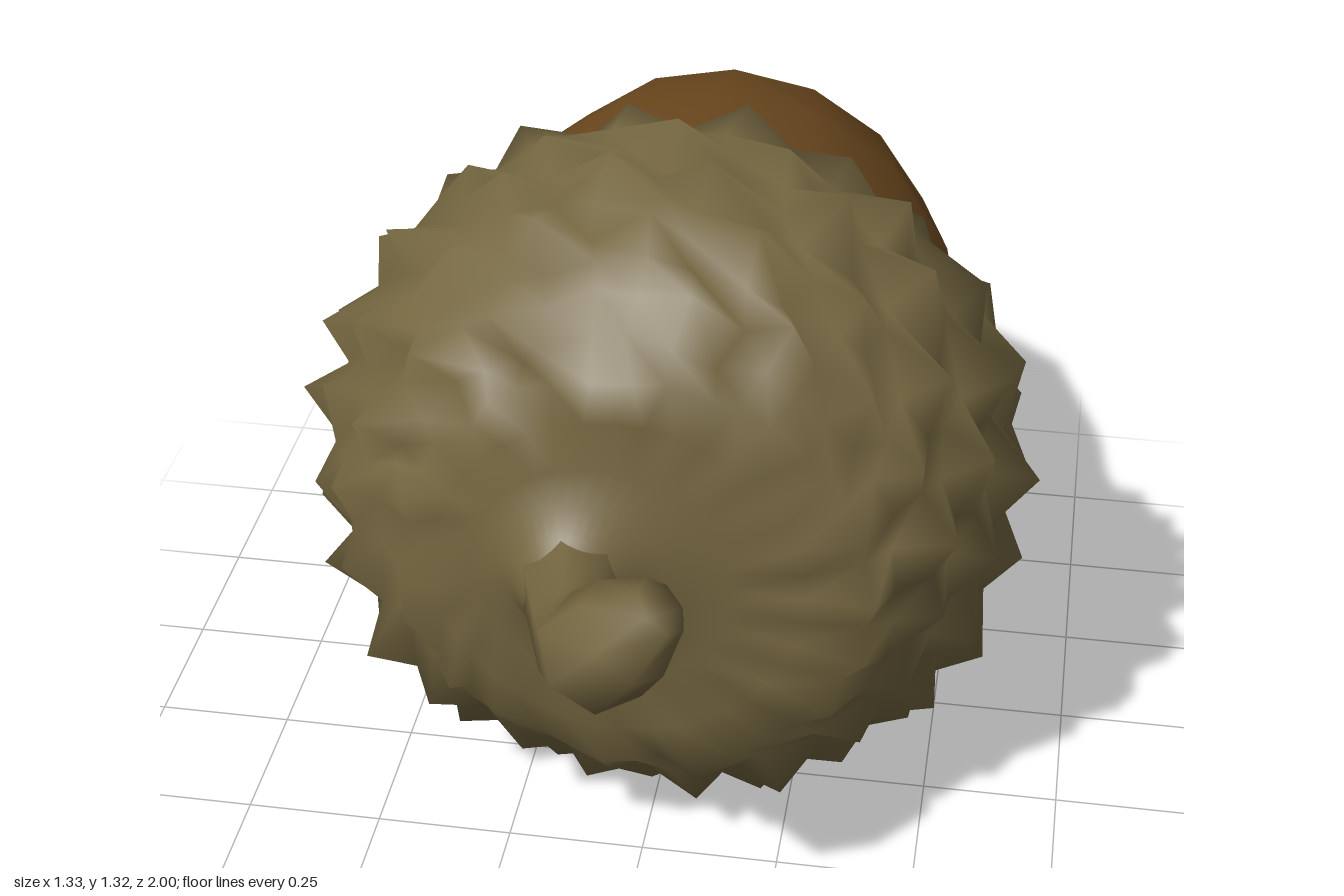
import * as THREE from 'three';
import { mergeVertices } from 'three/addons/utils/BufferGeometryUtils.js';

const AXIS_Y = 0.625;

// Small repeatable random number from 0 to 1
function hash(a, b) {
  const s = Math.sin(a * 127.1 + b * 311.7) * 43758.5453;
  return s - Math.floor(s);
}

// Weld the seams and recompute smooth normals
function weld(geometry) {
  geometry.deleteAttribute('normal');
  geometry.deleteAttribute('uv');
  const g = mergeVertices(geometry, 1e-4);
  g.computeVertexNormals();
  return g;
}

// Revolve [radius, z, ...] rows; the lathe axis becomes z once rotated
function revolve(rows, segments) {
  return new THREE.LatheGeometry(rows.map(([r, z]) => new THREE.Vector2(r, z)), segments);
}

// Pointed nut whose middle sags a little
function nutGeometry() {
  const g = revolve([
    [0, -1], [0.1, -0.9], [0.3, -0.79], [0.418, -0.64],
    [0.49, -0.4], [0.508, -0.2], [0.515, 0.03],
  ], 16).rotateX(Math.PI / 2);
  const p = g.attributes.position;
  for (let i = 0; i < p.count; i++) p.setY(i, p.getY(i) + 0.03 * Math.sin(Math.PI * p.getZ(i)));
  return weld(g);
}

// Cup with staggered rows of pointed scales, drawn out into the stalk
function capGeometry() {
  const segments = 40;
  // radius, z, spike height
  const rows = [
    [0.49, -0.01, 0], [0.545, -0.015, 0], [0.578, 0.0, 0.05], [0.595, 0.06, 0],
    [0.6, 0.12, 0.068], [0.602, 0.18, 0], [0.6, 0.24, 0.068], [0.585, 0.3, 0],
    [0.565, 0.355, 0.065], [0.535, 0.41, 0], [0.5, 0.46, 0.06], [0.45, 0.51, 0],
    [0.4, 0.55, 0.03], [0.32, 0.58, 0], [0.22, 0.593, 0], [0.14, 0.61, 0], [0.1, 0.65, 0], [0.06, 0.7, 0],
  ];
  const g = revolve(rows, segments);
  const p = g.attributes.position;
  for (let i = 0; i < p.count; i++) {
    const row = i % rows.length;
    const col = Math.floor(i / rows.length) % segments;
    const [r, z, spike] = rows[row];
    const raised = spike > 0 && (col + row / 2) % 2 === 0;
    const rough = row > 1 && r > 0.35 ? 0.03 : 0;
    const out = raised ? spike * (0.6 + 0.5 * hash(col, row)) : rough * (hash(col, row) - 0.55);
    const lean = rough * 1.6 * (hash(row, col + 9) - 0.5);
    const angle = col / segments * Math.PI * 2 + rough * 3 * (hash(row + 5, col) - 0.5);
    // Scales stand out along the curved surface of the cup
    const tilt = Math.max(0, (z - 0.2) / 0.35) * 0.9;
    const radius = r + out * Math.cos(tilt);
    // The middle rows slide over to meet the off-centre stalk
    const slide = THREE.MathUtils.clamp((0.4 - r) / 0.3, 0, 1);
    p.setXYZ(i, Math.sin(angle) * radius - 0.09 * slide, z + out * Math.sin(tilt) + lean,
      Math.cos(angle) * radius - 0.045 * slide);
  }
  return weld(g.rotateX(Math.PI / 2));
}

// Bent stalk with a thick elbow and a blunt, hooked tip
function stalkGeometry() {
  const path = new THREE.CatmullRomCurve3([
    new THREE.Vector3(-0.09, 0.685, 0.6), new THREE.Vector3(-0.08, 0.695, 0.68),
    new THREE.Vector3(-0.055, 0.7, 0.78), new THREE.Vector3(-0.015, 0.735, 0.88),
    new THREE.Vector3(0.03, 0.795, 0.915), new THREE.Vector3(0.11, 0.875, 0.92),
  ]);
  const radii = [0.105, 0.085, 0.075, 0.076, 0.1, 0.092, 0.05];
  const sides = 7;
  const g = new THREE.TubeGeometry(path, radii.length - 1, 0.001, sides);
  const p = g.attributes.position, n = g.attributes.normal;
  for (let i = 0; i < p.count; i++) {
    const r = radii[Math.floor(i / (sides + 1))];
    p.setXYZ(i, p.getX(i) + n.getX(i) * r, p.getY(i) + n.getY(i) * r, p.getZ(i) + n.getZ(i) * r);
  }
  // Close the tip by a fan around its last ring
  const first = (radii.length - 1) * (sides + 1);
  const index = Array.from(g.index.array);
  for (let k = 1; k < sides - 1; k++) index.push(first, first + k + 1, first + k);
  g.setIndex(index);
  return weld(g);
}

// Thin flake lying on the shoulder of the nut
function flakeGeometry() {
  const outline = [[0.21, -0.01], [0.25, -0.09], [0.31, -0.1], [0.395, -0.17], [0.39, -0.08], [0.34, -0.03], [0.29, -0.01]];
  const points = [[0.31, -0.06], ...outline];
  const positions = points.flatMap(([x, z]) => [x, Math.sqrt(0.522 * 0.522 - x * x) - 0.01, z]);
  const index = [];
  outline.forEach((_, i) => index.push(0, 1 + (i + 1) % outline.length, 1 + i));
  const g = new THREE.BufferGeometry();
  g.setAttribute('position', new THREE.Float32BufferAttribute(positions, 3));
  g.setIndex(index);
  g.computeVertexNormals();
  return g;
}

export function createModel() {
  const nutBrown = new THREE.MeshStandardMaterial({ color: 0x6e4a1f });
  nutBrown.name = 'nutBrown';
  const capOlive = new THREE.MeshStandardMaterial({ color: 0x746640, side: THREE.DoubleSide });
  capOlive.name = 'capOlive';

  const model = new THREE.Group();
  model.name = 'acorn';
  const add = (name, geometry, material, y) => {
    const mesh = new THREE.Mesh(geometry, material);
    mesh.name = name;
    mesh.position.y = y;
    model.add(mesh);
  };
  add('nut', nutGeometry(), nutBrown, AXIS_Y);
  add('cap', capGeometry(), capOlive, AXIS_Y + 0.015);
  add('stalk', stalkGeometry(), capOlive, 0);
  add('flake', flakeGeometry(), capOlive, AXIS_Y);
  return model;
}
